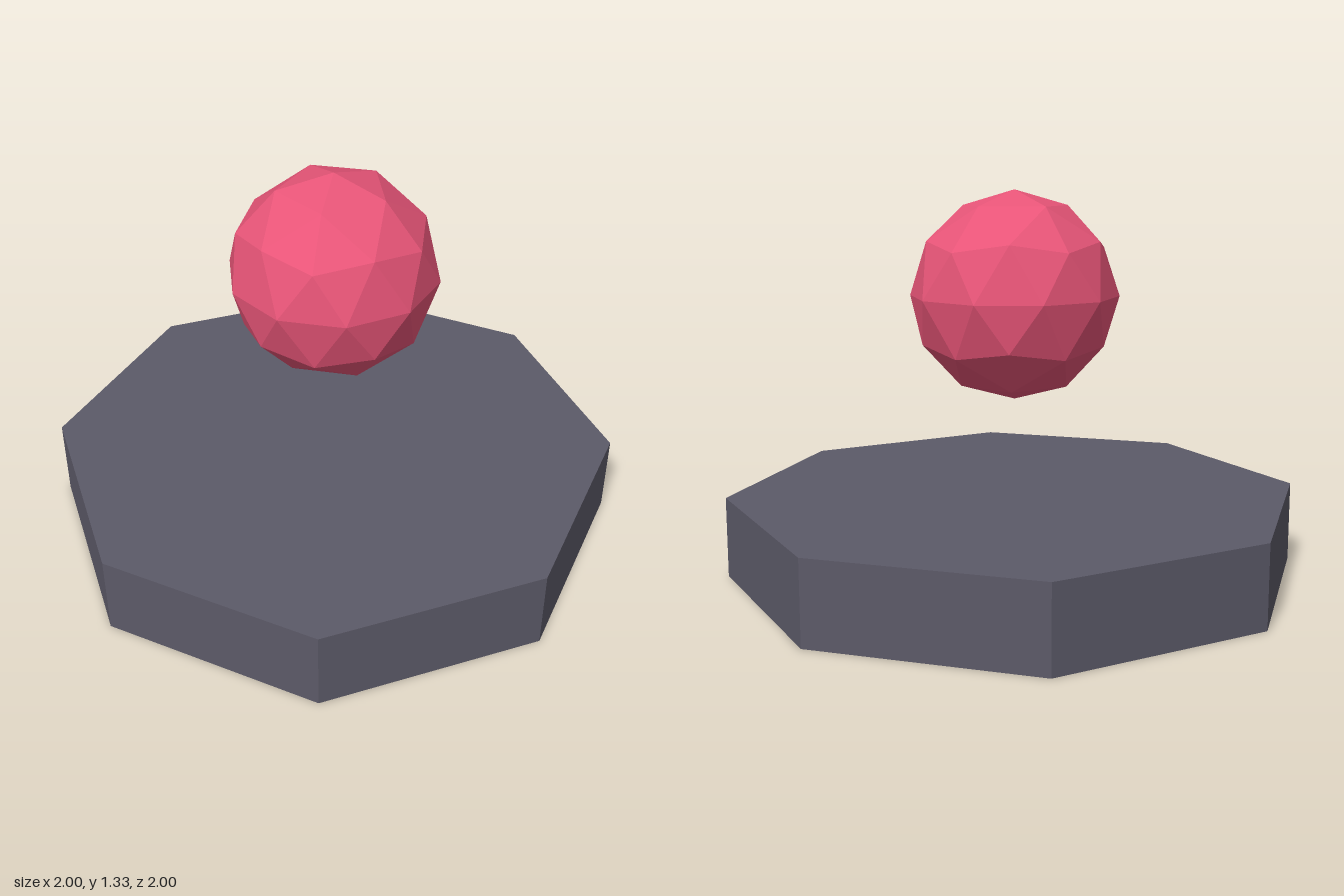
import * as THREE from 'three';

export function createModel() {
  const group = new THREE.Group();

  const addPart = (name, geometry, color, y) => {
    const material = new THREE.MeshStandardMaterial({ color, flatShading: true });
    const mesh = new THREE.Mesh(geometry, material);
    mesh.name = name;
    mesh.position.y = y;
    group.add(mesh);
  };

  // Octagonal slab with corners on the x and z axes
  const baseHeight = 0.28;
  addPart('base', new THREE.CylinderGeometry(1, 1, baseHeight, 8), 0x5c5a68, baseHeight / 2);

  // Faceted ball floating above the base, turned so that a vertex points straight up
  const ball = new THREE.IcosahedronGeometry(0.36, 1);
  ball.rotateZ(-Math.atan2(1, (1 + Math.sqrt(5)) / 2));
  addPart('floatingBall', ball, 0xe85578, 0.97);

  return group;
}
